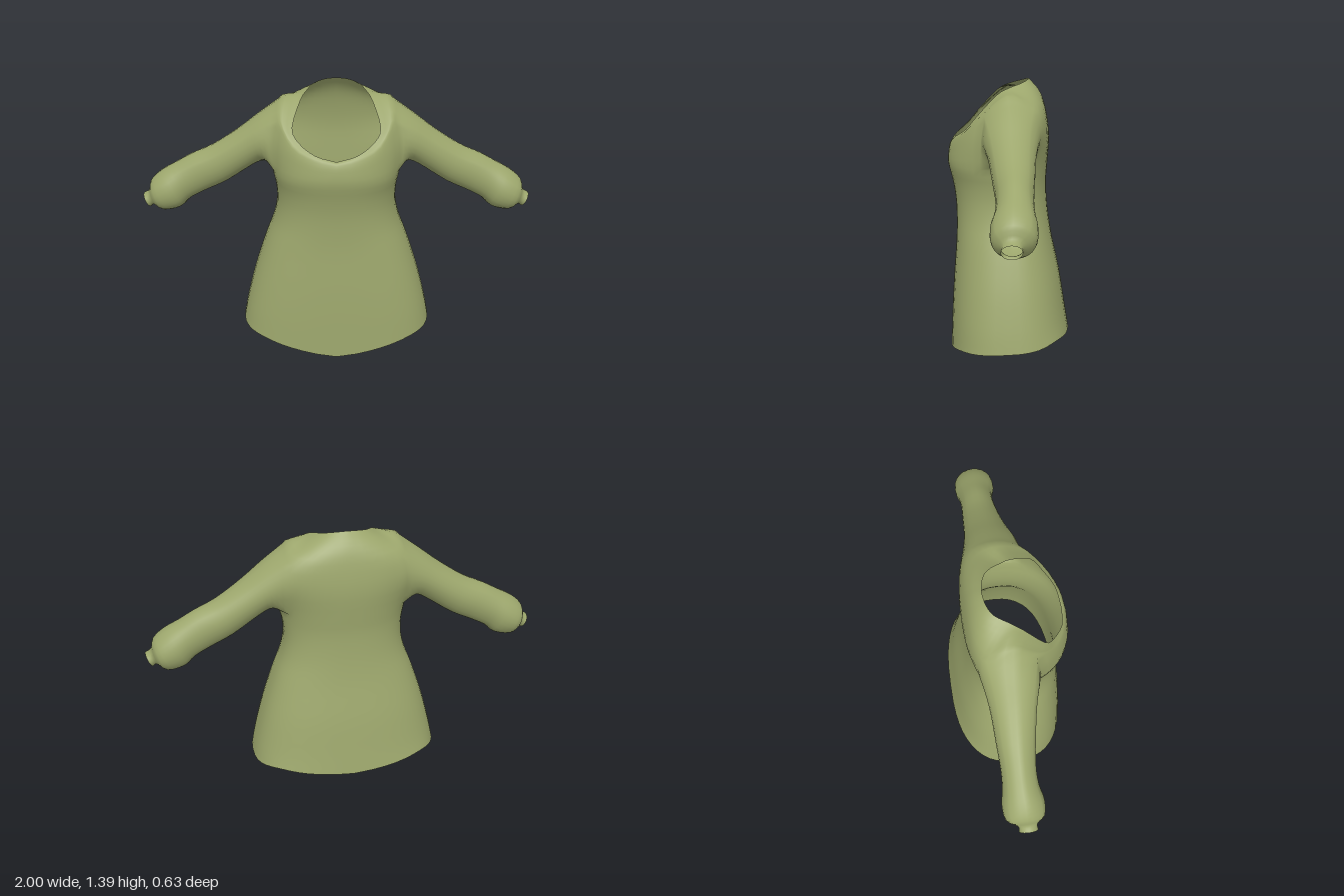
import * as THREE from 'three';

const HALF = 24, COLS = 48, SUB = 3;      // columns in half and whole ring, steps between key rows
const ARM_FRONT = 9, ARM_BACK = 16;       // armhole columns
const ARM_LOW = 7 * SUB, ARM_TOP = 9 * SUB; // armhole rows

const V = (p) => new THREE.Vector3(...p);
const spline = (pts) => new THREE.CatmullRomCurve3(pts, false, 'catmullrom', 0.5);

// Skirt and waist rows: height, half width, front depth, back depth, squareness
const rows = [
  [0, 0.5, 0.303, 0.315, 2.6],
  [0.22, 0.477, 0.295, 0.295, 2.6],
  [0.4, 0.43, 0.285, 0.265, 2.55],
  [0.58, 0.37, 0.272, 0.225, 2.5],
  [0.7, 0.325, 0.27, 0.205, 2.4],
  [0.8, 0.305, 0.275, 0.195, 2.35],
  [0.89, 0.308, 0.29, 0.192, 2.3],
  [0.98, 0.325, 0.311, 0.198, 2.3],
];
// Hem heights from front centre to back centre
const hem = spline([0, 0.045, 0.08, 0.095, 0.107, 0.12, 0.137, 0.122, 0.1].map((y, i) => V([i, y, 0])));

// Chest, shoulder, yoke and neckline rows from front centre to back centre
const upper = [
  [[0, 1.045, 0.307], [0.11, 1.05, 0.293], [0.22, 1.08, 0.235], [0.31, 1.12, 0.13], [0.34, 1.14, 0],
    [0.315, 1.14, -0.14], [0.23, 1.13, -0.18], [0.12, 1.12, -0.2], [0, 1.12, -0.205]],
  [[0, 1.075, 0.298], [0.105, 1.09, 0.283], [0.215, 1.14, 0.22], [0.285, 1.24, 0.115], [0.29, 1.31, 0],
    [0.285, 1.27, -0.12], [0.21, 1.26, -0.165], [0.11, 1.26, -0.18], [0, 1.26, -0.183]],
  [[0, 1.085, 0.29], [0.102, 1.105, 0.275], [0.2, 1.15, 0.215], [0.25, 1.23, 0.14], [0.225, 1.335, 0.02],
    [0.21, 1.33, -0.06], [0.16, 1.335, -0.115], [0.09, 1.337, -0.142], [0, 1.34, -0.15]],
  [[0, 1.09, 0.28], [0.1, 1.115, 0.265], [0.18, 1.16, 0.21], [0.213, 1.22, 0.16], [0.175, 1.325, 0.06],
    [0.145, 1.358, 0], [0.11, 1.378, -0.06], [0.06, 1.39, -0.09], [0, 1.395, -0.1]],
];

// Sleeve sections: top x, y, bottom x, y, front z, back z
const sleeve = [
  [0.39, 1.235, 0.36, 0.995, 0.115, -0.145],
  [0.5, 1.15, 0.42, 0.97, 0.09, -0.132],
  [0.63, 1.065, 0.56, 0.875, 0.065, -0.125],
  [0.74, 1.015, 0.67, 0.82, 0.05, -0.12],
  [0.82, 0.97, 0.755, 0.775, 0.052, -0.125],
  [0.9, 0.925, 0.805, 0.73, 0.07, -0.137],
  [0.955, 0.875, 0.89, 0.712, 0.062, -0.128],
  [0.97, 0.82, 0.945, 0.74, 0.022, -0.075],
  [1.0, 0.8, 0.965, 0.73, 0.022, -0.072],
];

// One point of a skirt row at column k
function skirtPoint(row, r, k) {
  const [y, w, f, b, n] = row;
  const a = (k / HALF) * Math.PI, s = Math.sin(a), c = Math.cos(a);
  const x = w * Math.pow(Math.max(s, 0), 2 / n);
  const z = Math.sign(c) * (c > 0 ? f : b) * Math.pow(Math.abs(c), 2 / n);
  return V([k % HALF === 0 ? 0 : x, r === 0 ? hem.getPoint(k / HALF).y : y, z]);
}

export function createModel() {
  const cloth = new THREE.MeshStandardMaterial({ color: 0x9ca66c, side: THREE.DoubleSide });
  cloth.name = 'olive cloth';

  const pos = [];
  const parts = { body: [], leftSleeve: [], rightSleeve: [] };
  const add = (x, y, z) => pos.push(x, y, z) / 3 - 1;
  const quad = (list, a, b, c, d) => list.push(a, b, c, a, c, d);

  // Body: one smooth curve per column, from hem to neckline
  const upperCurves = upper.map((r) => spline(r.map(V)));
  const last = (rows.length + upper.length - 1) * SUB;
  const columns = [];
  for (let k = 0; k <= HALF; k++) {
    const key = rows.map((row, r) => skirtPoint(row, r, k));
    upperCurves.forEach((c) => key.push(c.getPoint(k / HALF)));
    columns.push(spline(key).getPoints(last));
  }
  const grid = [];
  for (let r = 0; r <= last; r++) {
    grid.push([]);
    for (let j = 0; j < COLS; j++) {
      const left = j <= HALF;
      const p = columns[left ? j : COLS - j][r];
      grid[r].push(add(left ? p.x : -p.x, p.y, p.z));
    }
  }
  for (let r = 0; r < last; r++) {
    for (let j = 0; j < COLS; j++) {
      const k = j < HALF ? j : COLS - 1 - j;
      if (r >= ARM_LOW && r < ARM_TOP && k >= ARM_FRONT && k < ARM_BACK) continue; // armhole
      const j2 = (j + 1) % COLS;
      quad(parts.body, grid[r][j], grid[r][j2], grid[r + 1][j2], grid[r + 1][j]);
    }
  }

  // Armhole edge as a loop of [row, column]
  const loop = [];
  for (let k = ARM_FRONT; k < ARM_BACK; k++) loop.push([ARM_LOW, k]);
  for (let r = ARM_LOW; r < ARM_TOP; r++) loop.push([r, ARM_BACK]);
  for (let k = ARM_BACK; k > ARM_FRONT; k--) loop.push([ARM_TOP, k]);
  for (let r = ARM_TOP; r > ARM_LOW; r--) loop.push([r, ARM_FRONT]);

  // Sleeves: smooth curves running from the armhole edge to the cuff
  const strands = loop.map(([r, k]) => {
    const p = columns[k][r];
    const a = Math.atan2((p.z + 0.005) / 0.125, (p.y - 1.13) / 0.15);
    const key = [p];
    for (const [tx, ty, bx, by, zf, zb] of sleeve) {
      const c = Math.cos(a), s = Math.sin(a);
      key.push(V([
        (tx + bx) / 2 + (c * (tx - bx)) / 2,
        (ty + by) / 2 + (c * (ty - by)) / 2,
        (zf + zb) / 2 + (s * (zf - zb)) / 2,
      ]));
    }
    return spline(key).getPoints(sleeve.length * SUB);
  });
  for (const side of [1, -1]) {
    const list = side > 0 ? parts.leftSleeve : parts.rightSleeve;
    let prev = loop.map(([r, k]) => grid[r][side > 0 ? k : COLS - k]);
    for (let i = 1; i <= sleeve.length * SUB; i++) {
      const next = strands.map((s) => add(side * s[i].x, s[i].y, s[i].z));
      for (let m = 0; m < loop.length; m++) {
        const n = (m + 1) % loop.length;
        if (side > 0) quad(list, prev[m], prev[n], next[n], next[m]);
        else quad(list, prev[n], prev[m], next[m], next[n]);
      }
      prev = next;
    }
  }

  // Shared normals keep the sleeve seams smooth
  const whole = new THREE.BufferGeometry();
  whole.setAttribute('position', new THREE.Float32BufferAttribute(pos, 3));
  whole.setIndex(Object.values(parts).flat());
  whole.computeVertexNormals();

  const group = new THREE.Group();
  group.name = 'tunic';
  for (const [name, index] of Object.entries(parts)) {
    const geo = new THREE.BufferGeometry();
    geo.setAttribute('position', whole.getAttribute('position'));
    geo.setAttribute('normal', whole.getAttribute('normal'));
    geo.setIndex(index);
    const mesh = new THREE.Mesh(geo, cloth);
    mesh.name = name;
    group.add(mesh);
  }
  return group;
}
